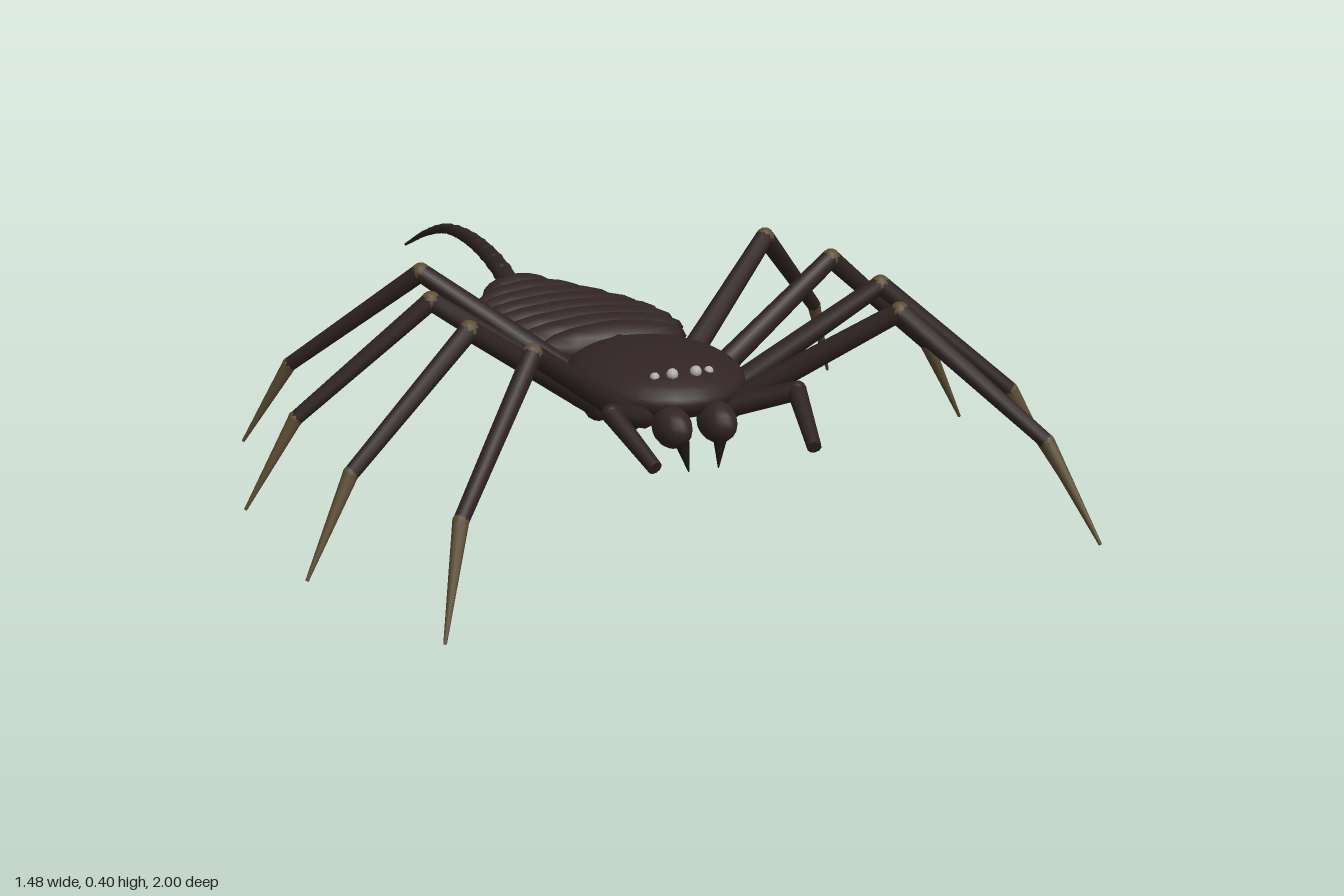
import * as THREE from 'three';

const V = (x, y, z) => new THREE.Vector3(x, y, z);

export function createModel() {
  const root = new THREE.Group();
  root.name = 'tailedArachnid';

  const paint = (name, color) => {
    const m = new THREE.MeshStandardMaterial({ color });
    m.name = name;
    return m;
  };
  const shell = paint('dark brown shell', 0x322424);
  const limb = paint('dark brown limb', 0x2d2221);
  const claw = paint('olive claw', 0x5c4d34);
  const fangMat = paint('black fang', 0x1a1414);
  const pale = paint('pale grey', 0xb0aca4);

  const add = (parent, name, geo, mat) => {
    const m = new THREE.Mesh(geo, mat);
    m.name = name;
    parent.add(m);
    return m;
  };
  const ellipsoid = (parent, name, mat, pos, size, w = 16, h = 10) => {
    const m = add(parent, name, new THREE.SphereGeometry(1, w, h), mat);
    m.position.copy(pos);
    m.scale.copy(size);
    return m;
  };
  // Tapered rod from a to b
  const rod = (parent, name, mat, a, b, ra, rb) => {
    const d = b.clone().sub(a);
    const m = add(parent, name, new THREE.CylinderGeometry(rb, ra, d.length(), 10), mat);
    m.position.copy(a).addScaledVector(d, 0.5);
    m.quaternion.setFromUnitVectors(V(0, 1, 0), d.normalize());
    return m;
  };
  const ball = (parent, name, mat, p, r) => ellipsoid(parent, name, mat, p, V(r, r, r), 10, 8);

  // Head shield
  ellipsoid(root, 'carapace', shell, V(0, 0.218, 0.43), V(0.162, 0.06, 0.187), 28, 18);

  // Abdomen rings, each a wide spindle, with a core joining them
  const widths = [0.155, 0.18, 0.19, 0.19, 0.178, 0.155, 0.122, 0.082];
  const abdomen = new THREE.Group();
  abdomen.name = 'abdomen';
  root.add(abdomen);
  widths.forEach((w, i) => {
    const p = V(0, 0.222 - i * 0.0046, 0.225 - i * 0.0707);
    ellipsoid(abdomen, 'abdomenRing', shell, p, V(w, 0.045, 0.044), 14, 10);
  });
  rod(abdomen, 'abdomenCore', shell, V(0, 0.222, 0.3), V(0, 0.19, -0.29), 0.032, 0.026);

  // Pale plates under the abdomen
  for (const z of [-0.005, -0.075])
    ellipsoid(root, 'bellyPlate', pale, V(0, 0.157, z), V(0.034, 0.009, 0.03), 14, 8);

  // Arched whip tail made of tapering joints
  const tail = new THREE.Group();
  tail.name = 'tail';
  root.add(tail);
  const curve = new THREE.CatmullRomCurve3([
    V(0, 0.185, -0.28), V(0, 0.222, -0.4), V(0, 0.238, -0.55),
    V(0, 0.225, -0.71), V(0, 0.183, -0.85), V(0, 0.119, -1)]);
  const pts = curve.getSpacedPoints(16);
  const tailR = i => 0.023 - 0.02 * (i / 16);
  for (let i = 0; i < 16; i++) {
    rod(tail, 'tailJoint', limb, pts[i], pts[i + 1], tailR(i), tailR(i + 1));
    ball(tail, 'tailKnuckle', limb, pts[i], tailR(i) * 1.06);
  }

  // Leg points for one side: base, knee, ankle, tip
  const legs = [
    [V(0.1, 0.19, 0.55), V(0.35, 0.38, 0.715), V(0.55, 0.17, 0.905), V(0.612, 0, 0.998)],
    [V(0.13, 0.19, 0.475), V(0.402, 0.38, 0.542), V(0.645, 0.17, 0.613), V(0.738, 0, 0.648)],
    [V(0.13, 0.19, 0.395), V(0.402, 0.38, 0.34), V(0.645, 0.17, 0.285), V(0.738, 0, 0.264)],
    [V(0.1, 0.19, 0.325), V(0.355, 0.38, 0.148), V(0.56, 0.17, -0.04), V(0.635, 0, -0.118)],
  ];

  for (const s of [1, -1]) {
    const side = s > 0 ? 'left' : 'right';
    const flip = p => V(p.x * s, p.y, p.z);

    legs.forEach((raw, i) => {
      const [base, knee, ankle, tip] = raw.map(flip);
      const g = new THREE.Group();
      g.name = `${side}Leg${i + 1}`;
      root.add(g);
      ball(g, 'hip', limb, base, 0.028);
      rod(g, 'upperLeg', limb, base, knee, 0.023, 0.018);
      ball(g, 'knee', claw, knee, 0.0185);
      rod(g, 'lowerLeg', limb, knee, ankle, 0.018, 0.014);
      ball(g, 'ankle', claw, ankle, 0.0145);
      rod(g, 'foot', claw, ankle, tip, 0.014, 0.003);
    });

    // Short feelers beside the jaws
    const [b, e, t] = [V(0.08, 0.19, 0.57), V(0.18, 0.235, 0.655), V(0.152, 0.172, 0.785)].map(flip);
    const palp = new THREE.Group();
    palp.name = `${side}Feeler`;
    root.add(palp);
    rod(palp, 'upperFeeler', limb, b, e, 0.02, 0.018);
    ball(palp, 'feelerElbow', limb, e, 0.0185);
    rod(palp, 'lowerFeeler', limb, e, t, 0.018, 0.013);

    // Jaw with a fang
    ellipsoid(root, `${side}Jaw`, shell, V(0.044 * s, 0.18, 0.61), V(0.034, 0.038, 0.05));
    rod(root, `${side}Fang`, fangMat, V(0.037 * s, 0.158, 0.64), V(0.029 * s, 0.107, 0.652), 0.013, 0.001);

    // Eyes
    ball(root, `${side}InnerEye`, pale, V(0.023 * s, 0.262, 0.562), 0.011);
    ball(root, `${side}OuterEye`, pale, V(0.053 * s, 0.257, 0.552), 0.009);
  }
  return root;
}
